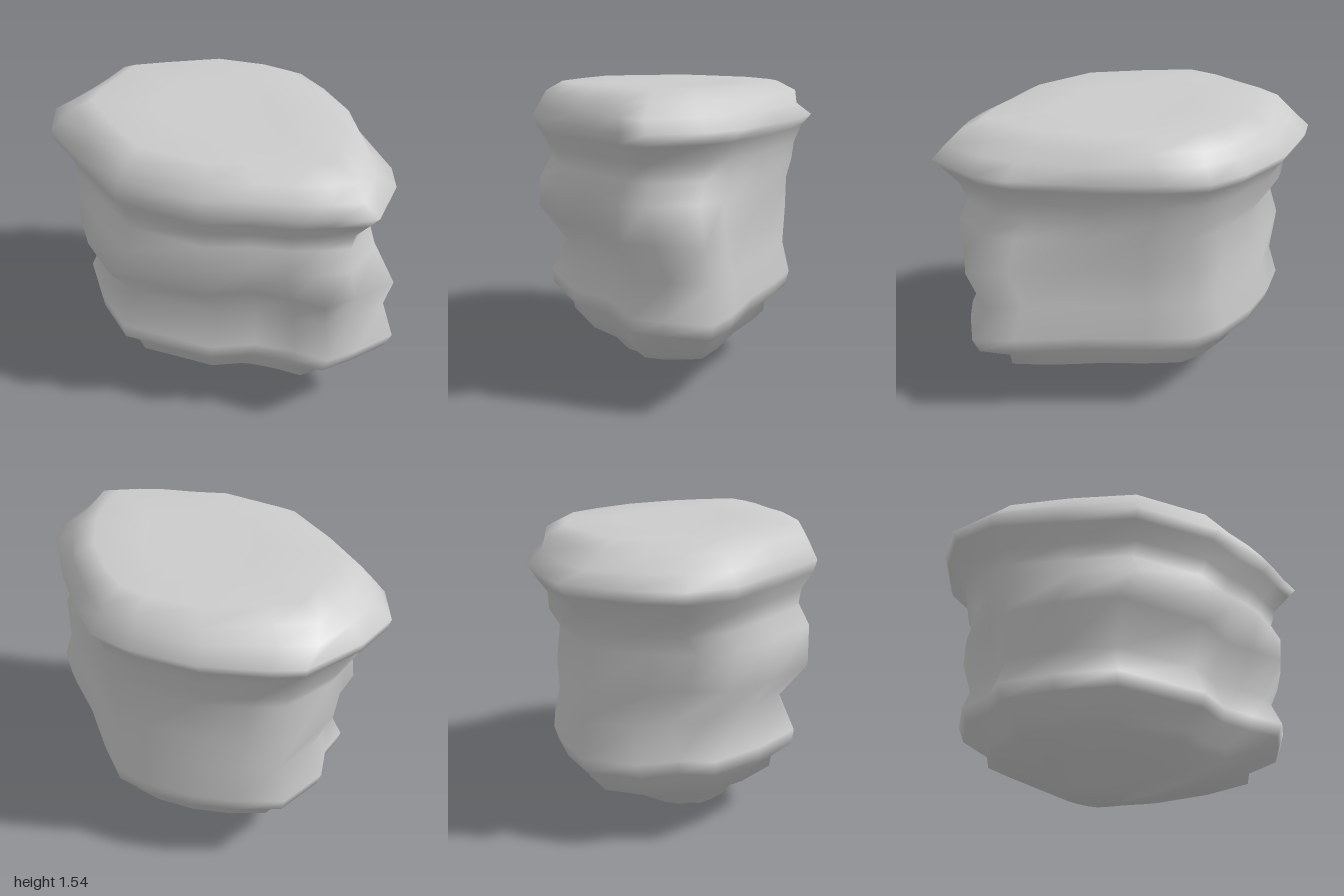
import * as THREE from 'three';
import { mergeVertices } from 'three/addons/utils/BufferGeometryUtils.js';

// Plan outlines [x, z], all running from the left end round the front.
// The waist has a spur at the back left, a hollow behind it and a dent in front
const waist = [
  [0.88, 0.03], [0.83, 0.19], [0.66, 0.26], [0.48, 0.36], [0.34, 0.54], [-0.12, 0.745], [-0.42, 0.65],
  [-0.68, 0.505], [-0.73, 0.33], [-0.85, 0.17], [-0.87, -0.12], [-0.72, -0.3], [-0.53, -0.46],
  [-0.3, -0.58], [-0.13, -0.62], [0.1, -0.54], [0.42, -0.4], [0.74, -0.3], [0.93, -0.21],
];
const rim = [
  [1, 0.05], [0.88, 0.18], [0.78, 0.3], [0.6, 0.43], [0.42, 0.6], [-0.02, 0.745], [-0.4, 0.66],
  [-0.76, 0.57], [-0.95, 0.4], [-1, 0.15], [-0.98, -0.2], [-0.88, -0.33], [-0.64, -0.55],
  [-0.34, -0.7], [-0.13, -0.75], [0.1, -0.68], [0.4, -0.55], [0.75, -0.36], [0.88, -0.23],
];
// The crown is cut back at the rear corners, leaving a ledge on the rim
const crown = [
  [0.86, 0.05], [0.78, 0.17], [0.68, 0.28], [0.53, 0.4], [0.37, 0.55], [-0.02, 0.68], [-0.36, 0.6],
  [-0.66, 0.5], [-0.76, 0.33], [-0.82, 0.14], [-0.88, -0.03], [-0.77, -0.2], [-0.57, -0.48],
  [-0.3, -0.62], [-0.12, -0.66], [0.1, -0.6], [0.36, -0.49], [0.61, -0.29], [0.73, -0.15],
];
const outlines = [waist, rim, crown];

// Levels from the bottom tip upwards: [y, outline (0 waist, 1 rim, 2 crown), xMin, xMax, zMin, zMax]
const levels = [
  [0, 0, -0.08, -0.08, 0.1, 0.1],
  [0.05, 0, -0.33, 0.18, -0.09, 0.3],
  [0.16, 0, -0.49, 0.48, -0.36, 0.39],
  [0.25, 0, -0.7, 0.72, -0.51, 0.56],
  [0.31, 0, -0.71, 0.73, -0.52, 0.57],
  [0.4, 0, -0.84, 0.9, -0.63, 0.68],
  [0.48, 0, -0.87, 0.935, -0.65, 0.69],
  [0.65, 0, -0.81, 0.86, -0.61, 0.6],
  [0.84, 0, -0.87, 0.935, -0.62, 0.75],
  [1.02, 0.65, -0.81, 0.885, -0.62, 0.725],
  [1.12, 0.85, -0.87, 0.845, -0.65, 0.67],
  [1.21, 1, -0.88, 0.87, -0.66, 0.68],
  [1.3, 1, -0.98, 0.95, -0.7, 0.74],
  [1.36, 1, -1, 1, -0.75, 0.755],
  [1.42, 1.6, -0.94, 0.93, -0.67, 0.72],
  [1.49, 2, -0.88, 0.86, -0.66, 0.68],
  [1.54, 2, -0.77, 0.73, -0.56, 0.59],
  [1.535, 2, -0.4, 0.38, -0.29, 0.31],
  [1.53, 2, -0.02, -0.02, 0.01, 0.01],
];

// Blend neighbouring outlines and fit the result to the level's extents
function section([y, t, x0, x1, z0, z1]) {
  const k = Math.min(Math.floor(t), 1);
  const pts = outlines[k].map((p, i) =>
    p.map((v, axis) => THREE.MathUtils.lerp(v, outlines[k + 1][i][axis], t - k)));
  const xs = pts.map((p) => p[0]);
  const zs = pts.map((p) => p[1]);
  const fit = THREE.MathUtils.mapLinear;
  return pts.flatMap(([x, z]) => [
    fit(x, Math.min(...xs), Math.max(...xs), x0, x1),
    y,
    fit(z, Math.min(...zs), Math.max(...zs), z0, z1),
  ]);
}

export function createModel() {
  const n = rim.length;
  const index = [];
  for (let i = 0; i < levels.length - 1; i++) {
    for (let j = 0; j < n; j++) {
      const a = i * n + j;
      const b = i * n + ((j + 1) % n);
      // The tips collapse to a point, so only one triangle is needed there
      if (i < levels.length - 2) index.push(b, a + n, b + n);
      if (i > 0) index.push(a, a + n, b);
    }
  }
  let geometry = new THREE.BufferGeometry();
  geometry.setAttribute('position', new THREE.Float32BufferAttribute(levels.flatMap(section), 3));
  geometry.setIndex(index);
  geometry = mergeVertices(geometry);
  geometry.computeVertexNormals();

  const rock = new THREE.Mesh(geometry, new THREE.MeshStandardMaterial({ color: 0xcccccc }));
  rock.name = 'rock';
  const group = new THREE.Group();
  group.name = 'layeredRock';
  group.add(rock);
  return group;
}
